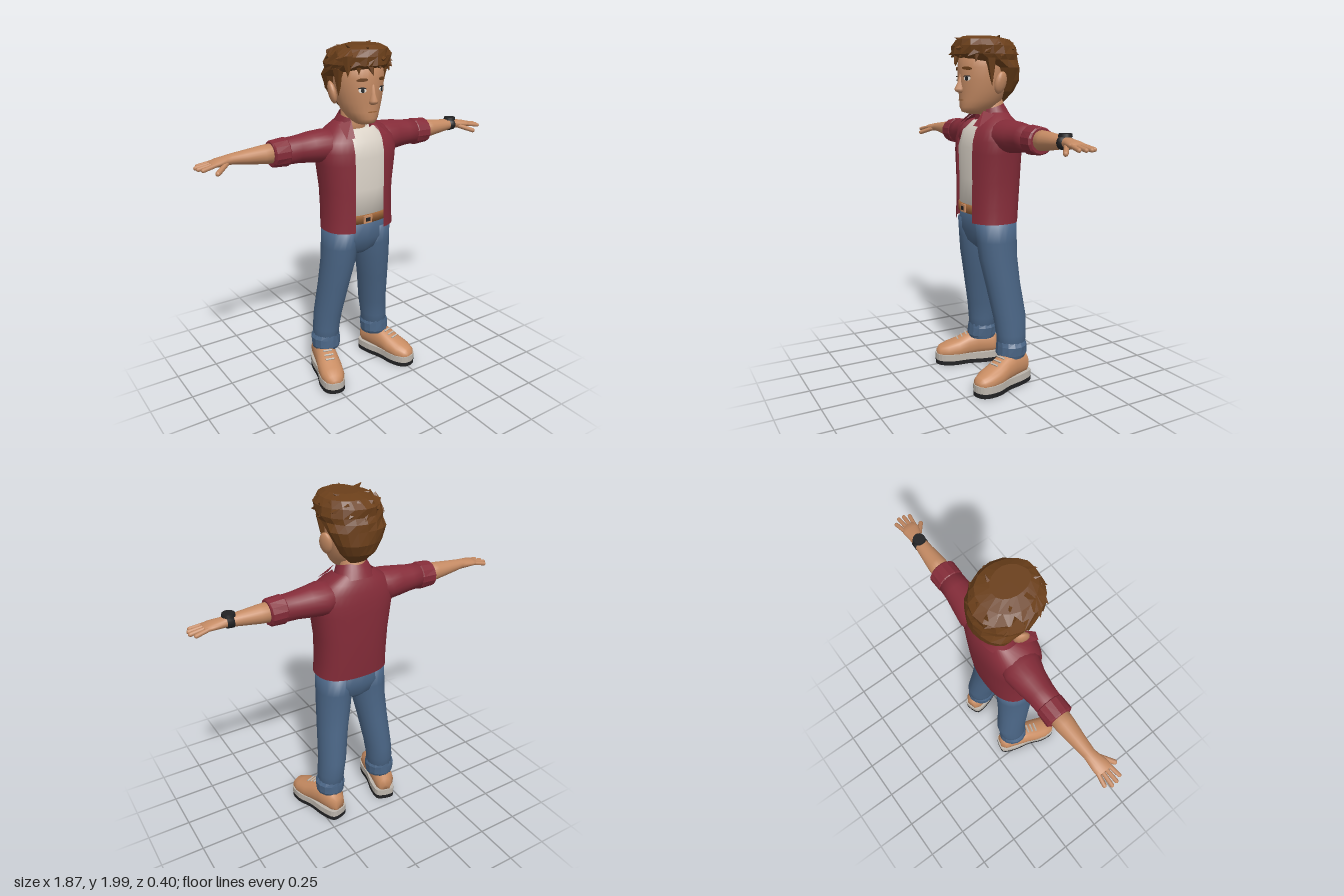
import * as THREE from 'three';

const paint = (name, color, side = THREE.FrontSide) => {
  const m = new THREE.MeshStandardMaterial({ color, side });
  m.name = name;
  return m;
};

// Tube of superellipse rings along an axis. Ring: [position, centreU, centreV, radiusU, radiusV].
// Ring axes (u, v): y -> (x, z), x -> (z, y), z -> (y, x). A gap leaves the +v side open.
function loft(axis, rings, { n = 20, power = 2, gap = 0, jitter = 0, floor = -9 } = {}) {
  const pos = [], index = [];
  const bend = v => Math.sign(v) * Math.abs(v) ** (2 / power);
  const put = (w, u, v) => {
    const p = axis === 'y' ? [u, w, v] : axis === 'x' ? [w, v, u] : [v, u, w];
    pos.push(p[0], Math.max(p[1], floor), p[2]);
  };
  const cols = gap ? n + 1 : n;
  rings.forEach(([w, cu, cv, ru, rv], k) => {
    const d = gap ? Math.asin(Math.min(0.98, (gap / ru) ** (power / 2))) : 0;
    for (let j = 0; j < cols; j++) {
      const t = Math.PI / 2 + d + (j / n) * (2 * Math.PI - 2 * d);
      const r = 1 + jitter * Math.sin(j * 5.3 + k * 2.7);
      put(w, cu + ru * r * bend(Math.cos(t)), cv + rv * r * bend(Math.sin(t)));
    }
  });
  const up = rings[rings.length - 1][0] > rings[0][0];
  const tri = (a, b, c) => (up ? index.push(a, b, c) : index.push(a, c, b));
  for (let i = 0; i < rings.length - 1; i++) {
    for (let j = 0; j < n; j++) {
      const a = i * cols + j, b = i * cols + (j + 1) % cols;
      tri(a, a + cols, b);
      tri(b, a + cols, b + cols);
    }
  }
  if (!gap) {
    for (const i of [0, rings.length - 1]) {
      const c = pos.length / 3, base = i * n;
      put(...rings[i].slice(0, 3));
      for (let j = 0; j < n; j++) {
        const a = base + j, b = base + (j + 1) % n;
        i ? tri(c, b, a) : tri(c, a, b);
      }
    }
  }
  const g = new THREE.BufferGeometry();
  g.setAttribute('position', new THREE.Float32BufferAttribute(pos, 3));
  g.setIndex(index);
  g.computeVertexNormals();
  return g;
}

const flat = g => {
  const f = g.toNonIndexed();
  f.computeVertexNormals();
  return f;
};

export function createModel() {
  const model = new THREE.Group();
  model.name = 'standingMan';
  const skin = paint('skin', 0xc48a63), hair = paint('hair brown', 0x6b3f1a);
  const red = paint('shirt red', 0x852c39, THREE.DoubleSide), white = paint('undershirt white', 0xdbd3c8);
  const denim = paint('denim blue', 0x4a6585), tan = paint('shoe tan', 0xc98d63);
  const pale = paint('sole grey', 0xbdb6ad), black = paint('black', 0x222224);
  const leather = paint('belt leather', 0x9c6438), eyeWhite = paint('eye white', 0xe6e0d8);

  const add = (name, geo, mat, parent = model) => {
    const m = new THREE.Mesh(geo, mat);
    m.name = name;
    parent.add(m);
    return m;
  };
  // Places a y-aligned geometry between two points
  const between = (name, geo, mat, a, b) => {
    const p = new THREE.Vector3(...a), q = new THREE.Vector3(...b);
    const m = add(name, geo, mat);
    m.position.copy(p).lerp(q, 0.5);
    m.quaternion.setFromUnitVectors(new THREE.Vector3(0, 1, 0), q.sub(p).normalize());
    return m;
  };
  const dist = (a, b) => Math.hypot(a[0] - b[0], a[1] - b[1], a[2] - b[2]);

  // Torso: undershirt, open shirt, collar, hips and belt
  add('undershirt', loft('y', [[1.03, 0, -0.02, 0.19, 0.135], [1.2, 0, -0.025, 0.195, 0.14], [1.38, 0, -0.028, 0.21, 0.143],
    [1.47, 0, -0.035, 0.19, 0.125], [1.53, 0, -0.045, 0.12, 0.085]], { power: 2.5, n: 28 }), white);
  add('shirtBody', loft('y', [[0.96, 0, -0.015, 0.218, 0.15], [1.05, 0, -0.02, 0.212, 0.153], [1.2, 0, -0.025, 0.215, 0.157],
    [1.35, 0, -0.026, 0.235, 0.157], [1.42, 0, -0.028, 0.245, 0.153], [1.48, 0, -0.032, 0.23, 0.14],
    [1.53, 0, -0.042, 0.18, 0.115], [1.575, 0, -0.05, 0.11, 0.08]], { power: 2.5, n: 32, gap: 0.095 }), red);
  const collar = add('collar', loft('y', [[-0.045, 0, 0, 0.125, 0.1], [0.0, 0, 0, 0.105, 0.09], [0.04, 0, 0, 0.088, 0.078]],
    { n: 20, gap: 0.06 }), red);
  collar.position.set(0, 1.57, -0.048);
  collar.rotation.x = 0.28;
  add('hips', loft('y', [[0.79, 0, -0.03, 0.05, 0.07], [0.83, 0, -0.028, 0.14, 0.11], [0.9, 0, -0.025, 0.207, 0.13],
    [1.03, 0, -0.02, 0.2, 0.135]], { power: 2.4 }), denim);
  add('belt', loft('y', [[1.005, 0, -0.02, 0.203, 0.142], [1.055, 0, -0.02, 0.203, 0.142]], { power: 2.4, n: 28 }), leather);
  add('buckle', new THREE.BoxGeometry(0.055, 0.045, 0.009), tan).position.set(-0.015, 1.03, 0.126);
  add('buckleHole', new THREE.BoxGeometry(0.03, 0.022, 0.006), black).position.set(-0.015, 1.03, 0.13);

  // Shoe sole outline, seen from above
  const outline = new THREE.Shape();
  outline.moveTo(0, -0.2);
  outline.splineThru([[0.055, -0.185], [0.07, -0.1], [0.066, 0], [0.078, 0.1], [0.055, 0.18], [0, 0.205],
    [-0.055, 0.18], [-0.074, 0.1], [-0.064, 0], [-0.07, -0.1], [-0.055, -0.185], [0, -0.2]].map(p => new THREE.Vector2(...p)));
  const slab = depth => new THREE.ExtrudeGeometry(outline, { depth, bevelEnabled: false, curveSegments: 3 }).rotateX(Math.PI / 2);

  for (const s of [1, -1]) {
    const side = s > 0 ? 'left' : 'right';
    const mirrorX = rings => rings.map(([x, ...r]) => [s * x, ...r]);
    const offsetX = rings => rings.map(([y, x, ...r]) => [y, s * x, ...r]);

    // Leg and rolled cuff
    add(side + 'TrouserLeg', loft('y', offsetX([[0.17, 0.18, -0.085, 0.076, 0.08], [0.3, 0.176, -0.087, 0.078, 0.09],
      [0.4, 0.164, -0.083, 0.08, 0.1], [0.6, 0.14, -0.05, 0.09, 0.105], [0.75, 0.12, -0.03, 0.1, 0.115],
      [0.85, 0.113, -0.025, 0.104, 0.12], [0.96, 0.105, -0.02, 0.107, 0.125]])), denim);
    add(side + 'TrouserCuff', flat(loft('y', offsetX([[0.165, 0.181, -0.085, 0.08, 0.083], [0.185, 0.182, -0.085, 0.088, 0.09],
      [0.235, 0.181, -0.086, 0.087, 0.092], [0.26, 0.178, -0.086, 0.076, 0.085]]), { n: 14, jitter: 0.03 })), denim);

    // Shoe, turned outward
    const shoe = new THREE.Group();
    shoe.name = side + 'Shoe';
    shoe.position.set(s * 0.222, 0, -0.003);
    shoe.rotation.y = s * 0.28;
    model.add(shoe);
    add('shoeUpper', loft('z', [[-0.19, 0.1, 0, 0.05, 0.035], [-0.16, 0.115, 0, 0.07, 0.06], [-0.06, 0.12, 0, 0.08, 0.066],
      [0, 0.11, 0, 0.075, 0.068], [0.06, 0.09, 0, 0.065, 0.073], [0.13, 0.078, 0, 0.053, 0.07],
      [0.18, 0.07, 0, 0.04, 0.05], [0.197, 0.066, 0, 0.02, 0.025]], { floor: 0.055, power: 2.2 }), tan, shoe);
    add('midsole', slab(0.04), pale, shoe).position.y = 0.066;
    add('outsole', slab(0.026), black, shoe).position.y = 0.026;
    for (let i = 0; i < 3; i++) {
      const lace = add('lace', new THREE.BoxGeometry(0.055, 0.007, 0.009), pale, shoe);
      lace.position.set(0, 0.181 - i * 0.013, 0.012 + i * 0.028);
      lace.rotation.x = 0.5;
    }

    // Sleeve with turned-up end
    add(side + 'Sleeve', loft('x', mirrorX([[0.1, -0.045, 1.46, 0.09, 0.075], [0.2, -0.047, 1.448, 0.11, 0.092],
      [0.28, -0.055, 1.449, 0.09, 0.085], [0.36, -0.055, 1.448, 0.077, 0.075], [0.44, -0.055, 1.446, 0.072, 0.072]])), red);
    add(side + 'SleeveCuff', flat(loft('x', mirrorX([[0.42, -0.055, 1.446, 0.07, 0.07], [0.43, -0.055, 1.445, 0.078, 0.078],
      [0.51, -0.055, 1.444, 0.077, 0.074], [0.517, -0.055, 1.444, 0.066, 0.066]]), { n: 14, jitter: 0.02 })), red);

    // Forearm, palm, fingers and thumb
    add(side + 'Forearm', loft('x', mirrorX([[0.48, -0.055, 1.447, 0.056, 0.056], [0.56, -0.056, 1.448, 0.053, 0.05],
      [0.66, -0.056, 1.45, 0.042, 0.038], [0.74, -0.055, 1.452, 0.034, 0.028], [0.77, -0.052, 1.45, 0.038, 0.026],
      [0.82, -0.047, 1.447, 0.047, 0.021], [0.855, -0.046, 1.443, 0.044, 0.015]])), skin);
    [0.915, 0.935, 0.932, 0.918].forEach((tip, i) => {
      const a = [s * 0.835, 1.445, -0.079 + i * 0.022], b = [s * (tip - 0.01), 1.432, -0.09 + i * 0.03];
      between(side + 'Finger', new THREE.CapsuleGeometry(0.0115, dist(a, b), 3, 8), skin, a, b);
    });
    const t0 = [s * 0.775, 1.44, -0.025], t1 = [s * 0.845, 1.412, 0.028];
    between(side + 'Thumb', new THREE.CapsuleGeometry(0.0135, dist(t0, t1), 3, 8), skin, t0, t1);

    // Collar flap
    const flap = [[0.065, 1.585, 0.035], [0.125, 1.565, 0.0], [0.135, 1.5, 0.1], [0.065, 1.585, 0.035], [0.135, 1.5, 0.1], [0.092, 1.505, 0.115]];
    const flapGeo = new THREE.BufferGeometry().setFromPoints(flap.map(([x, y, z]) => new THREE.Vector3(s * x, y, z)));
    flapGeo.computeVertexNormals();
    add(side + 'CollarFlap', flapGeo, red);

    // Ear, eye and eyebrow
    const ear = add(side + 'Ear', new THREE.SphereGeometry(1, 12, 10), skin);
    ear.scale.set(0.022, 0.062, 0.042);
    ear.position.set(s * 0.148, 1.738, -0.025);
    ear.rotation.set(-0.15, s * 0.35, -s * 0.15);
    const plate = (name, mat, x, y, w, h, lift, tilt = 0) => {
      const z = 0.15 * Math.sqrt(1 - (x / 0.132) ** 2);
      const m = add(side + name, new THREE.CylinderGeometry(1, 1, 1, 14).rotateX(Math.PI / 2), mat);
      const turn = Math.atan2(x / 0.0174, z / 0.0225);
      m.scale.set(w, h, 0.006);
      m.position.set(s * (x + lift * Math.sin(turn)), y, z + lift * Math.cos(turn));
      m.rotation.set(0, s * turn, s * tilt);
    };
    plate('Eye', eyeWhite, 0.06, 1.76, 0.021, 0.012, 0.001);
    plate('Iris', black, 0.058, 1.76, 0.01, 0.012, 0.003);
    plate('Eyelid', black, 0.06, 1.773, 0.023, 0.003, 0.004);
    plate('Eyebrow', hair, 0.06, 1.815, 0.031, 0.009, 0.004, -0.08);
  }

  // Wristwatch on the left arm
  add('watchStrap', loft('x', [[0.705, -0.055, 1.451, 0.041, 0.037], [0.74, -0.055, 1.451, 0.039, 0.034]]), black);
  add('watchCase', new THREE.CylinderGeometry(0.033, 0.036, 0.016, 16), black).position.set(0.722, 1.488, -0.055);

  // Neck, head, nose and mouth
  add('neck', loft('y', [[1.48, 0, -0.05, 0.085, 0.075], [1.55, 0, -0.05, 0.068, 0.065], [1.66, 0, -0.045, 0.07, 0.075]]), skin);
  add('head', loft('y', [[1.565, 0, 0.04, 0.03, 0.045], [1.58, 0, 0.05, 0.055, 0.085], [1.605, 0, 0.04, 0.078, 0.105],
    [1.64, 0, 0.02, 0.1, 0.124], [1.69, 0, 0.008, 0.119, 0.138], [1.75, 0, 0, 0.132, 0.15], [1.82, 0, 0, 0.14, 0.15],
    [1.89, 0, -0.01, 0.135, 0.15], [1.94, 0, -0.01, 0.09, 0.1]], { n: 28 }), skin);
  add('nose', loft('y', [[1.682, 0, 0.135, 0.012, 0.02], [1.692, 0, 0.145, 0.025, 0.033], [1.705, 0, 0.145, 0.024, 0.038],
    [1.74, 0, 0.14, 0.014, 0.024], [1.79, 0, 0.138, 0.012, 0.012]], { n: 10 }), skin);
  add('mouth', new THREE.BoxGeometry(0.05, 0.006, 0.008), leather).position.set(0, 1.643, 0.143);

  // Hair mass and swept locks
  add('hair', flat(loft('y', [[1.635, 0, -0.095, 0.05, 0.025], [1.69, 0, -0.105, 0.1, 0.07], [1.75, 0, -0.1, 0.138, 0.098],
    [1.82, 0, -0.085, 0.163, 0.115], [1.86, 0, -0.035, 0.172, 0.157], [1.89, 0, -0.003, 0.178, 0.185],
    [1.935, 0.005, 0, 0.17, 0.183], [1.97, 0.015, 0.015, 0.135, 0.155], [1.988, 0.02, 0.03, 0.08, 0.1]],
    { n: 18, jitter: 0.035 })), hair);
  const lock = (a, b, r) =>
    between('hairLock', flat(new THREE.ConeGeometry(r, dist(a, b), 5)), hair, a, b);
  for (let i = 0; i < 13; i++) {
    const a = (i / 13) * 2 * Math.PI, b = a + 0.45, w = Math.sin(i * 4.1);
    lock([0.13 * Math.cos(a), 1.925, 0.13 * Math.sin(a)],
      [0.187 * Math.cos(b), 1.895 + 0.025 * w, 0.2 * Math.sin(b)], 0.05);
    if (i % 2) lock([0.05 * Math.cos(a), 1.95, 0.06 * Math.sin(a)],
      [0.13 * Math.cos(b), 1.985 + 0.01 * w, 0.03 + 0.14 * Math.sin(b)], 0.035);
  }
  // Fringe and sideburns
  [[-0.12, -0.135, 1.83], [-0.07, -0.085, 1.842], [-0.03, -0.015, 1.835], [0.05, 0.03, 1.868], [0.11, 0.125, 1.845]]
    .forEach(([x, tip, y]) => lock([x, 1.93, 0.15 - Math.abs(x) * 0.5], [tip, y, 0.185 - Math.abs(tip) * 0.55], 0.036));
  for (const s of [1, -1]) lock([s * 0.138, 1.87, 0.03], [s * 0.138, 1.72, 0.022], 0.035);

  return model;
}
